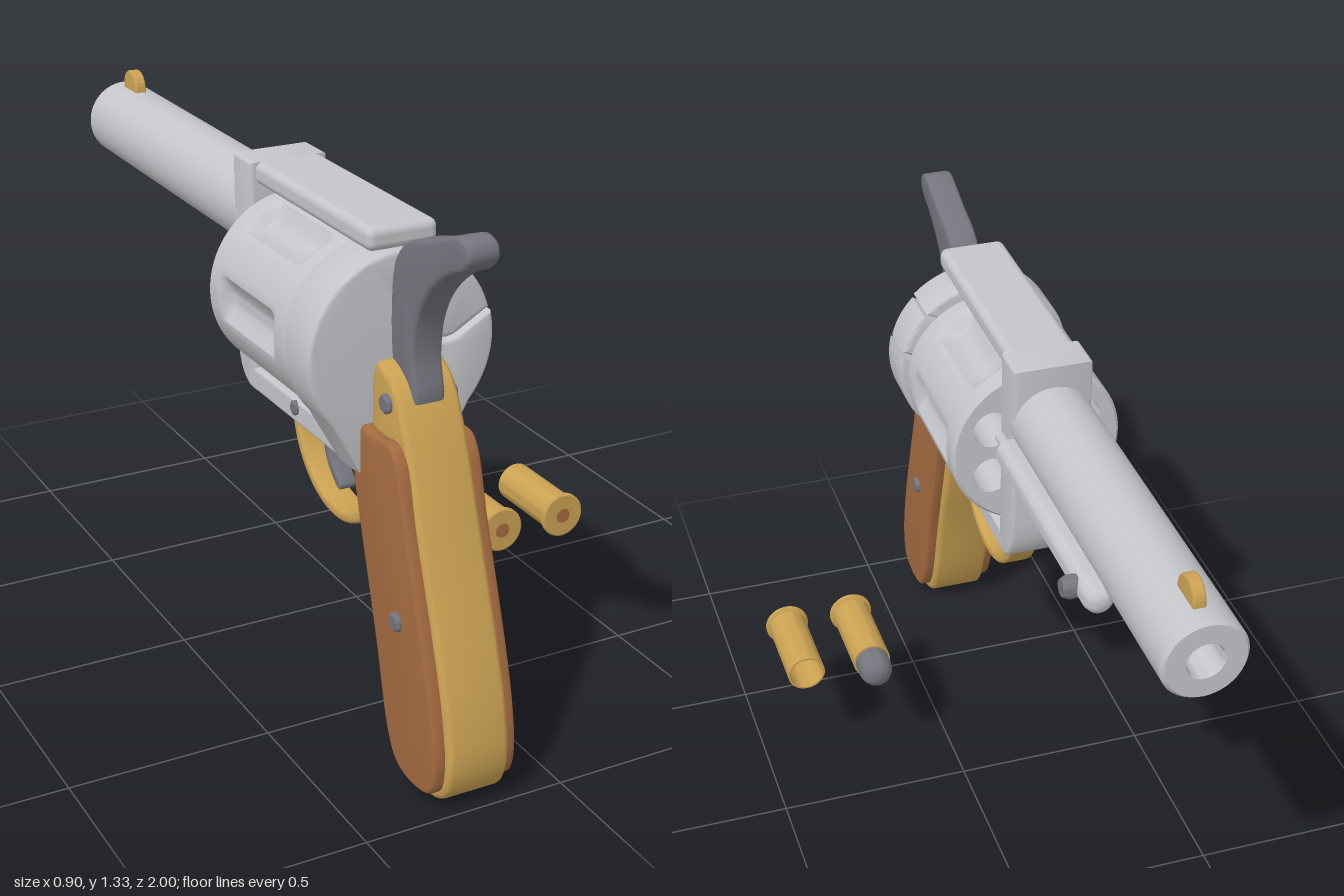
import * as THREE from 'three';
import { toCreasedNormals } from 'three/addons/utils/BufferGeometryUtils.js';
import { RoundedBoxGeometry } from 'three/addons/geometries/RoundedBoxGeometry.js';

const mat = (name, color, side = THREE.FrontSide) => {
  const m = new THREE.MeshStandardMaterial({ color, side });
  m.name = name;
  return m;
};

export function createModel() {
  const steel = mat('light steel', 0xc4c5c9, THREE.DoubleSide);
  const dark = mat('dark steel', 0x74757d);
  const brass = mat('brass', 0xcba253, THREE.DoubleSide);
  const wood = mat('wood', 0xa36a40);

  const model = new THREE.Group();
  model.name = 'revolverSet';
  const gun = new THREE.Group();
  gun.name = 'revolver';
  gun.position.x = -0.217;
  model.add(gun);

  const add = (name, geo, material, x = 0, y = 0, z = 0, parent = gun) => {
    const mesh = new THREE.Mesh(geo, material);
    mesh.name = name;
    mesh.position.set(x, y, z);
    parent.add(mesh);
    return mesh;
  };
  const vecs = (pts) => pts.map(([a, b]) => new THREE.Vector2(a, b));
  const extrude = (shape, depth, bevel) => {
    const g = new THREE.ExtrudeGeometry(shape, {
      depth: depth - 2 * bevel, curveSegments: 24, bevelEnabled: bevel > 0,
      bevelSize: bevel, bevelThickness: bevel, bevelOffset: -bevel, bevelSegments: 3,
    });
    g.translate(0, 0, bevel - depth / 2);
    return g;
  };
  // Side profile given as [z, y], extruded across x
  const sideProfile = (shape, width, bevel) =>
    toCreasedNormals(extrude(shape, width, bevel).rotateY(-Math.PI / 2), 0.6);
  const smoothShape = (pts, n = 70) => new THREE.Shape(new THREE.CatmullRomCurve3(
    pts.map(([z, y]) => new THREE.Vector3(z, y, 0)), true, 'centripetal').getPoints(n).slice(0, n)
    .map((p) => new THREE.Vector2(p.x, p.y)));
  // Turned part along z; profile is [radius, -z]
  const turned = (pts, seg = 40) =>
    toCreasedNormals(new THREE.LatheGeometry(vecs(pts), seg).rotateX(-Math.PI / 2), 0.6);
  // Domed screw head on a side, dir = +1 or -1 along x
  const screw = (name, dir, x, y, z, r, h) => {
    const g = new THREE.LatheGeometry(vecs([[r, -0.03], [r, h * 0.6], [r * 0.75, h], [0, h]]), 20);
    add(name, toCreasedNormals(g.rotateZ(-dir * Math.PI / 2), 0.6), dark, x * dir, y, z);
  };

  // Barrel, sight and ejector
  add('barrel', turned([[0.102, 0], [0.102, 0.99], [0.094, 1], [0.046, 1], [0.042, 0.99], [0.042, 0.6], [0, 0.6]], 56), steel, 0, 1.112, 0);
  const sight = new THREE.Shape();
  sight.moveTo(-0.855, 1.19);
  sight.lineTo(-0.855, 1.215);
  sight.absarc(-0.902, 1.22, 0.046, 0, Math.PI, false);
  sight.lineTo(-0.948, 1.19);
  add('frontSight', sideProfile(sight, 0.03, 0.005), brass);
  add('ejectorTube', turned([[0, 0.03], [0.037, 0.03], [0.037, 0.645], [0.031, 0.664], [0.018, 0.675], [0, 0.677]], 24), steel, 0.108, 1.048, 0);
  add('ejectorRod', turned([[0, -0.045], [0.014, -0.045], [0.014, 0.04], [0, 0.04]], 16), steel, 0.108, 1.045, 0);
  screw('ejectorButton', 1, 0.14, 1.045, -0.587, 0.028, 0.034);

  // Frame
  const block = new THREE.Shape();
  block.moveTo(0.07, 0.69);
  block.lineTo(0.07, 1.27);
  block.lineTo(-0.033, 1.27);
  block.lineTo(-0.033, 0.83);
  block.quadraticCurveTo(-0.03, 0.7, 0.05, 0.69);
  add('frameFront', sideProfile(block, 0.2, 0.008), steel);
  add('topStrap', new RoundedBoxGeometry(0.175, 0.056, 0.62, 4, 0.02), steel, 0, 1.242, 0.325);
  add('bottomStrap', new RoundedBoxGeometry(0.2, 0.06, 0.6, 3, 0.01), steel, 0, 0.72, 0.33);
  add('cylinderPin', turned([[0, -0.55], [0.028, -0.55], [0.028, 0.078], [0.022, 0.084], [0, 0.084]], 24), steel, 0, 0.978, 0);

  // Recoil shield with a radial notch for the loading gate
  const R = 0.232, inner = 0.13, gateAngle = Math.PI / 6;
  const polar = (r, a) => new THREE.Vector2(r * Math.cos(a), r * Math.sin(a));
  const arc = (r, a0, a1, n) => Array.from({ length: n + 1 }, (_, i) => polar(r, a0 + (a1 - a0) * i / n));
  const notch = (w, from, to) => arc(w, from, to, 18)
    .map((p) => p.add(new THREE.Vector2(inner, 0)).rotateAround(new THREE.Vector2(), gateAngle));
  const w = 0.066, d = Math.asin(w / R);
  const shield = new THREE.Shape([
    ...vecs([[-0.1, -0.288], [0.1, -0.288]]),
    ...arc(R, -0.72, gateAngle - d, 20),
    ...notch(w, -Math.PI / 2, -Math.PI * 1.5),
    ...arc(R, gateAngle + d, Math.PI + 0.72, 50),
  ]);
  add('recoilShield', toCreasedNormals(extrude(shield, 0.125, 0.008), 0.6), steel, 0, 0.978, 0.572);
  const gw = 0.059, gd = Math.asin(gw / R);
  const gate = new THREE.Shape([
    ...arc(R, gateAngle - gd, gateAngle + gd, 8),
    ...notch(gw, Math.PI / 2, Math.PI * 1.5),
  ]);
  add('loadingGate', toCreasedNormals(extrude(gate, 0.12, 0.014), 0.6), steel, 0, 0.978, 0.572);

  // Fluted cylinder with six chambers
  const cylinder = new THREE.Group();
  cylinder.name = 'cylinder';
  cylinder.position.set(0, 0.978, 0.285);
  gun.add(cylinder);
  const wall = new THREE.CylinderGeometry(0.222, 0.222, 0.41, 144, 48, true).rotateX(Math.PI / 2);
  const pos = wall.attributes.position;
  for (let i = 0; i < pos.count; i++) {
    const x = pos.getX(i), y = pos.getY(i), z = pos.getZ(i);
    const a = Math.atan2(y, x), step = Math.PI / 3;
    const off = Math.abs(a - Math.round(a / step) * step) / 0.27;
    const along = 1 - THREE.MathUtils.smoothstep(Math.abs(z), 0.11, 0.155);
    const edge = 0.008 * THREE.MathUtils.smoothstep(Math.abs(z), 0.195, 0.205);
    const r = 0.222 - 0.034 * along * Math.max(0, 1 - off * off) - edge;
    pos.setXY(i, r * Math.cos(a), r * Math.sin(a));
  }
  add('cylinderWall', toCreasedNormals(wall, 0.5), steel, 0, 0, 0, cylinder);
  const face = new THREE.Shape().absarc(0, 0, 0.214, 0, Math.PI * 2, false);
  for (let k = 0; k < 6; k++) {
    const c = polar(0.135, gateAngle + k * Math.PI / 3);
    face.holes.push(new THREE.Path().absarc(c.x, c.y, 0.05, 0, Math.PI * 2, true));
    add('chamber', new THREE.CylinderGeometry(0.05, 0.05, 0.41, 28, 1, true).rotateX(Math.PI / 2), steel, c.x, c.y, 0, cylinder);
  }
  const faceGeo = new THREE.ShapeGeometry(face, 28);
  add('cylinderRear', faceGeo, steel, 0, 0, 0.205, cylinder);
  add('cylinderFront', faceGeo, steel, 0, 0, -0.205, cylinder).rotation.y = Math.PI;

  // Hammer
  add('hammer', sideProfile(smoothShape([
    [0.97, 1.29], [0.965, 1.318], [0.93, 1.332], [0.887, 1.32], [0.807, 1.29], [0.716, 1.26], [0.666, 1.214],
    [0.648, 1.15], [0.65, 0.98], [0.68, 0.9], [0.755, 0.895], [0.742, 1.0], [0.757, 1.09],
    [0.807, 1.17], [0.888, 1.235], [0.945, 1.262],
  ]), 0.077, 0.01), dark);

  // Trigger and its guard
  add('trigger', sideProfile(smoothShape([
    [0.27, 0.72], [0.277, 0.65], [0.305, 0.575], [0.365, 0.528], [0.372, 0.54], [0.325, 0.595], [0.305, 0.65], [0.305, 0.72],
  ]), 0.045, 0.005), dark);
  const guard = new THREE.Shape();
  guard.absarc(0.37, 0.69, 0.227, Math.PI, Math.PI * 2, false);
  guard.absarc(0.37, 0.69, 0.198, Math.PI * 2, Math.PI, true);
  add('triggerGuard', sideProfile(guard, 0.075, 0.008), brass);

  // Grip frame and wooden panels
  add('gripFrame', sideProfile(smoothShape([
    [0.652, 0.972], [0.632, 0.93], [0.622, 0.76], [0.585, 0.7], [0.6, 0.59], [0.675, 0.34], [0.748, 0.09], [0.79, 0.03],
    [0.885, 0.005], [0.965, 0.03], [0.998, 0.1], [0.985, 0.24], [0.885, 0.55], [0.77, 0.87], [0.72, 0.945],
  ], 90), 0.155, 0.014), brass);
  const panel = smoothShape([
    [0.605, 0.812], [0.69, 0.813], [0.775, 0.81], [0.845, 0.62], [0.965, 0.24], [0.98, 0.11], [0.96, 0.05], [0.885, 0.028],
    [0.805, 0.045], [0.765, 0.1], [0.7, 0.33], [0.62, 0.6], [0.594, 0.71],
  ], 90);
  for (const dir of [1, -1]) {
    const side = dir > 0 ? 'left' : 'right';
    add(side + 'GripPanel', sideProfile(panel, 0.045, 0.01), wood, dir * 0.083);
    screw(side + 'PanelScrew', dir, 0.104, 0.41, 0.807, 0.023, 0.013);
    screw(side + 'GripScrew', dir, 0.077, 0.892, 0.706, 0.023, 0.013);
    screw(side + 'FrameScrew', dir, 0.1, 0.73, 0.294, 0.018, 0.008);
  }
  screw('pinScrew', -1, 0.1, 1.0, 0.012, 0.02, 0.012);

  // Loaded round and empty case lying alongside
  const caseProfile = [[0, -0.386], [0.054, -0.386], [0.058, -0.383], [0.058, -0.374], [0.05, -0.37], [0.05, -0.155],
    [0.045, -0.155], [0.045, -0.36], [0, -0.36]];
  const primer = turned([[0, -0.389], [0.019, -0.389], [0.019, -0.38], [0, -0.38]], 20);
  for (const [name, x] of [['loadedRound', 0.21], ['emptyCase', 0.39]]) {
    const round = new THREE.Group();
    round.name = name;
    round.position.set(x, 0.325, 0);
    model.add(round);
    add('case', turned(caseProfile), brass, 0, 0, 0, round);
    add('primer', primer, wood, 0, 0, 0, round);
    if (name === 'loadedRound') {
      add('bulletTip', turned([[0.045, -0.2], [0.045, -0.125], [0.042, -0.105], [0.034, -0.09], [0.02, -0.08], [0, -0.077]], 32), dark, 0, 0, 0, round);
    }
  }
  return model;
}
